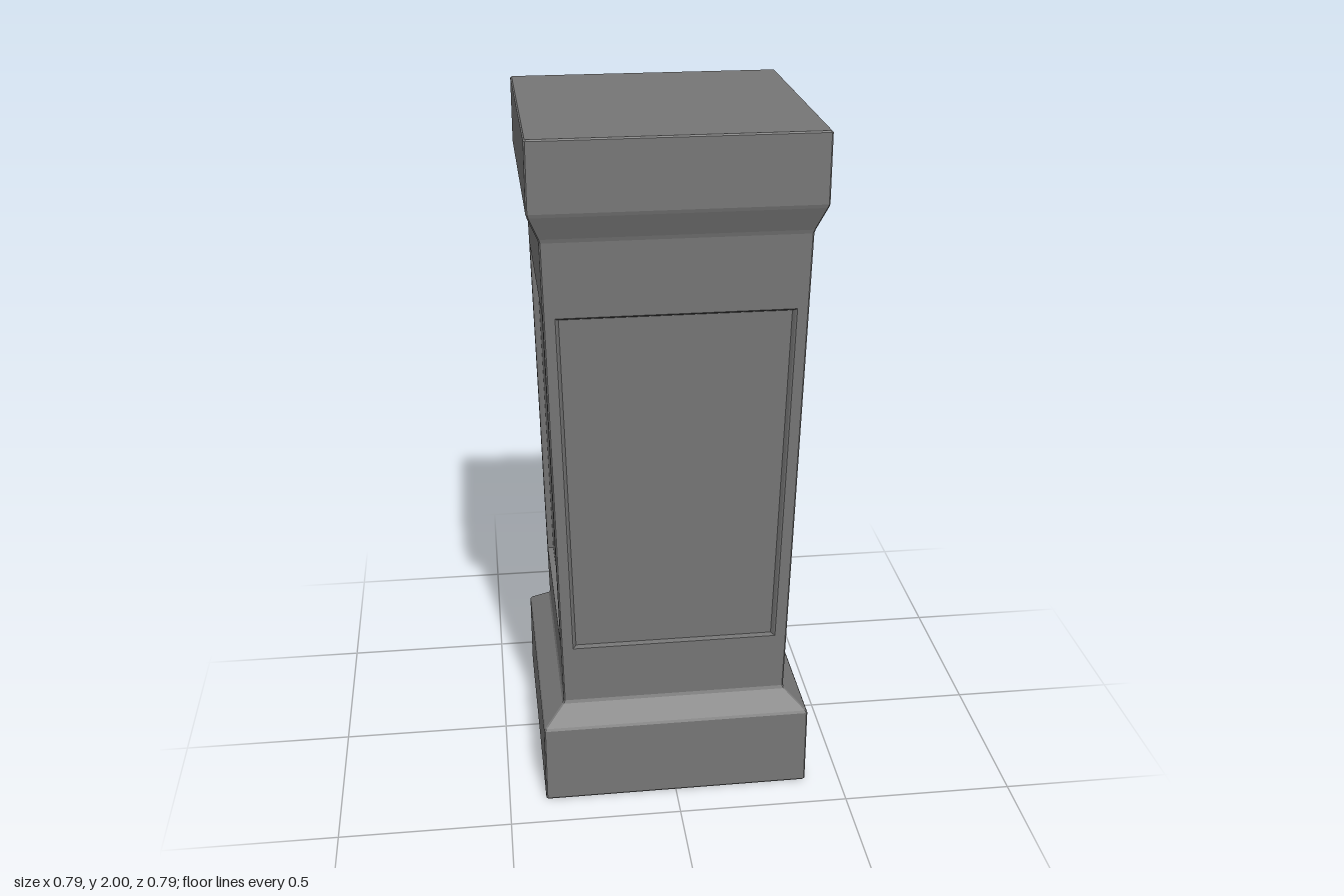
import * as THREE from 'three';

const material = new THREE.MeshStandardMaterial({ color: 0x767676, flatShading: true });
const CHAMFER = 0.004;

// Collects quads (corners counter-clockwise from outside) for one side, repeated on all four sides.
function fourSided(name, quads) {
  const positions = [];
  const up = new THREE.Vector3(0, 1, 0);
  for (let k = 0; k < 4; k++) {
    for (const q of quads) {
      const [a, b, c, d] = q.map((p) => new THREE.Vector3(...p).applyAxisAngle(up, k * Math.PI / 2));
      for (const tri of [[a, b, c], [a, c, d]]) {
        if (new THREE.Triangle(...tri).getArea() < 1e-9) continue;
        for (const p of tri) positions.push(p.x, p.y, p.z);
      }
    }
  }
  const geometry = new THREE.BufferGeometry();
  geometry.setAttribute('position', new THREE.Float32BufferAttribute(positions, 3));
  geometry.computeVertexNormals();
  const mesh = new THREE.Mesh(geometry, material);
  mesh.name = name;
  return mesh;
}

// Front edge of a square section and the chamfer point beside it.
const flat = (h) => Math.max(h - CHAMFER, 0);
const cornerQuad = (h0, y0, h1, y1) =>
  [[flat(h0), y0, h0], [h0, y0, flat(h0)], [h1, y1, flat(h1)], [flat(h1), y1, h1]];
const faceQuad = (h0, y0, h1, y1) =>
  [[-flat(h0), y0, h0], [flat(h0), y0, h0], [flat(h1), y1, h1], [-flat(h1), y1, h1]];

// Square moulding from a profile of [half width, height], bottom to top.
function moulding(name, profile) {
  const quads = [];
  for (let i = 0; i < profile.length - 1; i++) {
    const args = [...profile[i], ...profile[i + 1]];
    quads.push(faceQuad(...args), cornerQuad(...args));
  }
  return fourSided(name, quads);
}

// Tapered shaft with a recessed panel in every side.
function panelledShaft() {
  const y0 = 0.305, y1 = 1.722, h0 = 0.33, h1 = 0.362;
  const half = (y) => h0 + (h1 - h0) * (y - y0) / (y1 - y0);
  const loop = (wBottom, yBottom, wTop, yTop, depth) => [
    [-wBottom, yBottom, half(yBottom) - depth], [wBottom, yBottom, half(yBottom) - depth],
    [wTop, yTop, half(yTop) - depth], [-wTop, yTop, half(yTop) - depth],
  ];
  const outer = loop(flat(h0), y0, flat(h1), y1, 0);
  const rim = loop(0.299, 0.483, 0.325, 1.513, 0);
  const lip = loop(0.295, 0.484, 0.321, 1.509, 0.005);
  const panel = loop(0.289, 0.485, 0.315, 1.503, 0.018);

  const quads = [panel, cornerQuad(h0, y0, h1, y1)];
  for (const [a, b] of [[outer, rim], [rim, lip], [lip, panel]]) {
    for (let i = 0; i < 4; i++) {
      const j = (i + 1) % 4;
      quads.push([a[i], a[j], b[j], b[i]]);
    }
  }
  return fourSided('panelledShaft', quads);
}

export function createModel() {
  const group = new THREE.Group();
  group.name = 'pedestal';
  group.add(
    moulding('base', [
      [0, 0], [0.39, 0], [0.394, 0.005], [0.394, 0.242], [0.39, 0.249], [0.334, 0.296], [0.33, 0.305],
    ]),
    panelledShaft(),
    moulding('capital', [
      [0.362, 1.722], [0.365, 1.733], [0.391, 1.798], [0.394, 1.808], [0.394, 1.996], [0.39, 2], [0, 2],
    ]),
  );
  // The pedestal stands very slightly turned.
  group.rotation.y = 0.006;
  return group;
}
